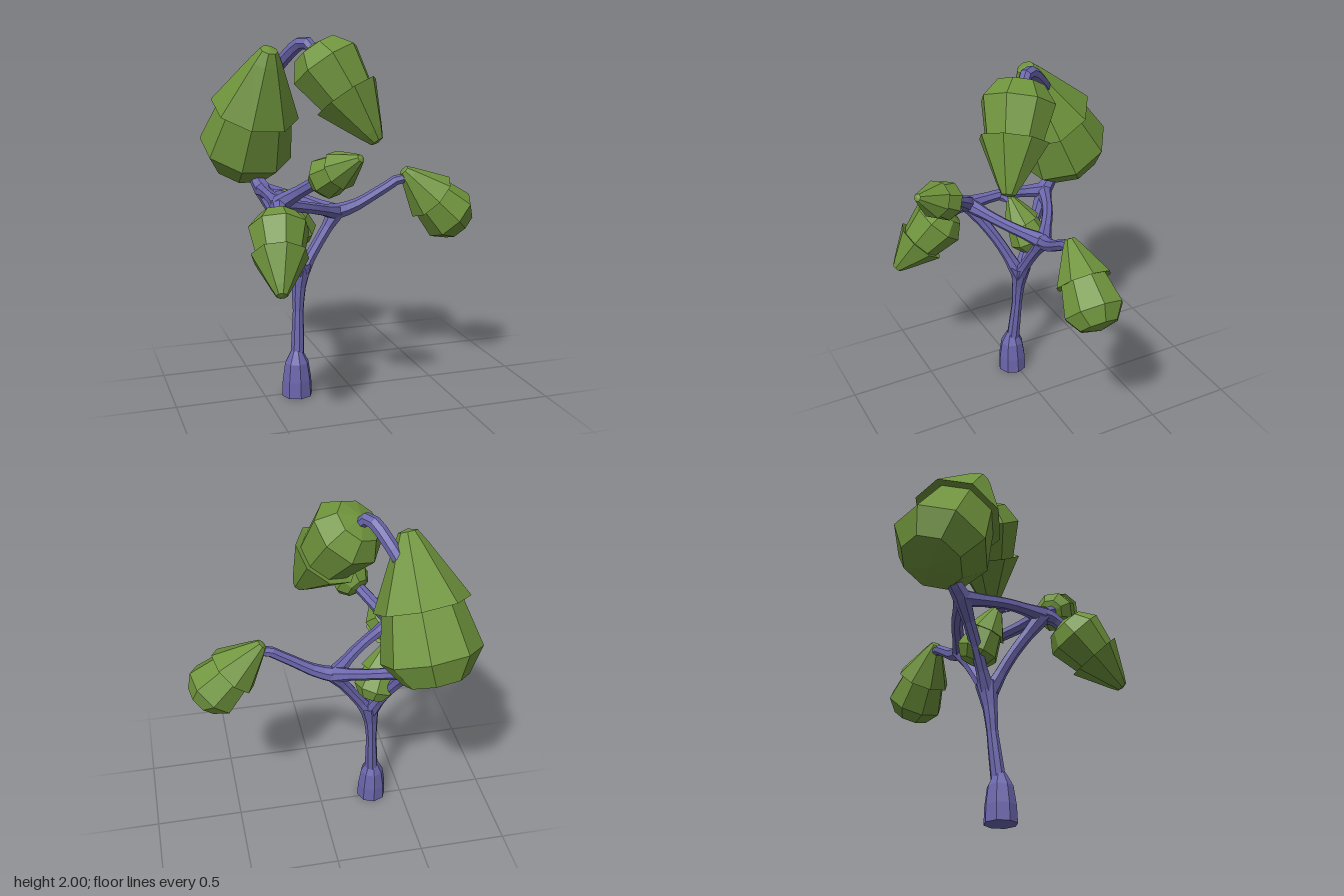
import * as THREE from 'three';

const wood = new THREE.MeshStandardMaterial({ color: 0x6b66ac, flatShading: true, side: THREE.DoubleSide });
const leaf = new THREE.MeshStandardMaterial({ color: 0x6f943c, flatShading: true });
const V = (p) => new THREE.Vector3(...p);

// Faceted limb along a curve, with its radius interpolated along the length
function limb(name, points, radii, sides = 7, segments = 8) {
  const curve = new THREE.CatmullRomCurve3(points.map(V));
  const geo = new THREE.TubeGeometry(curve, segments, 1, sides, false);
  const pos = geo.attributes.position;
  const v = new THREE.Vector3();
  for (let i = 0; i <= segments; i++) {
    const u = i / segments, c = curve.getPointAt(u);
    const f = u * (radii.length - 1), k = Math.min(Math.floor(f), radii.length - 2);
    const r = THREE.MathUtils.lerp(radii[k], radii[k + 1], f - k);
    for (let j = 0; j <= sides; j++) {
      const n = i * (sides + 1) + j;
      v.fromBufferAttribute(pos, n).sub(c).multiplyScalar(r).add(c);
      pos.setXYZ(n, v.x, v.y, v.z);
    }
  }
  geo.computeVertexNormals();
  const mesh = new THREE.Mesh(geo, wood);
  mesh.name = name;
  return mesh;
}

// Two-tier foliage: a cone with a lip, then a blunt egg; unit length along y
const tiers = [[0, 0], [0.06, 0.015], [0.11, 0.1], [0.305, 0.47], [0.25, 0.46],
  [0.325, 0.79], [0.21, 0.95], [0, 1]].map(([r, y]) => new THREE.Vector2(r, y));

function foliage(name, tip, blunt) {
  const a = V(tip), axis = V(blunt).sub(a), length = axis.length();
  const mesh = new THREE.Mesh(new THREE.LatheGeometry(tiers, 8), leaf);
  mesh.name = name;
  mesh.position.copy(a);
  mesh.scale.setScalar(length);
  mesh.quaternion.setFromUnitVectors(new THREE.Vector3(0, 1, 0), axis.normalize());
  return mesh;
}

export function createModel() {
  const tree = new THREE.Group();
  tree.name = 'tree';

  // Trunk with a swollen foot
  const foot = new THREE.Mesh(new THREE.LatheGeometry(
    [[0, 0.008], [0.087, 0.008], [0.083, 0.1], [0.068, 0.2], [0.042, 0.25], [0.03, 0.27]]
      .map(([r, y]) => new THREE.Vector2(r, y)), 8), wood);
  foot.name = 'trunkFoot';
  foot.position.set(-0.32, 0, 0.02);
  tree.add(foot);
  tree.add(limb('trunk', [[-0.315, 0.22, 0.015], [-0.3, 0.5, -0.01], [-0.295, 0.6, -0.015], [-0.275, 0.76, -0.025]],
    [0.04, 0.036, 0.031, 0.04, 0.062], 8));

  // Three rising branches meet a ring of cross branches
  const fork = [-0.28, 0.7, -0.02];
  const left = [-0.06, 1.03, -0.06], front = [-0.46, 1.15, 0.22], back = [-0.43, 1.14, -0.26];
  const flare = [0.048, 0.034, 0.032, 0.034, 0.048];
  tree.add(limb('leftRiser', [fork, [-0.19, 0.84, -0.035], left], flare));
  tree.add(limb('frontRiser', [fork, [-0.36, 0.92, 0.08], front], flare));
  tree.add(limb('backRiser', [fork, [-0.35, 0.92, -0.13], back], flare));
  tree.add(limb('leftFrontCross', [left, [-0.24, 1.09, 0.09], front], flare));
  tree.add(limb('leftBackCross', [left, [-0.25, 1.1, -0.19], back], flare));
  tree.add(limb('frontBackCross', [front, [-0.46, 1.16, 0], back], flare));

  // Outer branches
  tree.add(limb('leftBranch', [left, [0.04, 1.06, -0.045], [0.2, 1.15, -0.02], [0.31, 1.21, -0.01], [0.4, 1.2, 0]],
    [0.046, 0.033, 0.03, 0.03]));
  tree.add(limb('smallBranch', [front, [-0.4, 1.2, 0.27], [-0.29, 1.3, 0.4]], [0.05, 0.035, 0.033]));
  tree.add(limb('frontBranch', [front, [-0.47, 1.14, 0.27], [-0.49, 1.08, 0.36]], [0.045, 0.034, 0.03]));
  tree.add(limb('backBranch', [back, [-0.46, 1.22, -0.34], [-0.47, 1.34, -0.4]], [0.05, 0.036, 0.034]));
  tree.add(limb('innerBranch', [[-0.45, 1.15, 0], [-0.39, 1.16, -0.01], [-0.35, 1.1, -0.03]], [0.03, 0.028, 0.026]));
  tree.add(limb('topArch', [[-0.37, 1.79, -0.25], [-0.31, 1.89, -0.17], [-0.25, 1.966, -0.08],
    [-0.215, 1.96, -0.03], [-0.18, 1.88, 0]], [0.036, 0.036, 0.034]));

  // Foliage, from cone tip to blunt end
  [
    ['backFoliage', [-0.41, 1.94, -0.13], [-0.51, 1.21, -0.5]],
    ['topFoliage', [0.085, 1.45, 0.225], [-0.21, 1.96, -0.005]],
    ['leftFoliage', [0.32, 1.26, -0.01], [0.685, 0.905, 0.005]],
    ['frontFoliage', [-0.56, 0.78, 0.65], [-0.49, 1.13, 0.32]],
    ['smallFoliage', [-0.15, 1.44, 0.64], [-0.3, 1.28, 0.375]],
    ['innerFoliage', [-0.38, 1.18, -0.01], [-0.26, 0.86, -0.11]],
  ].forEach((f) => tree.add(foliage(...f)));

  return tree;
}
